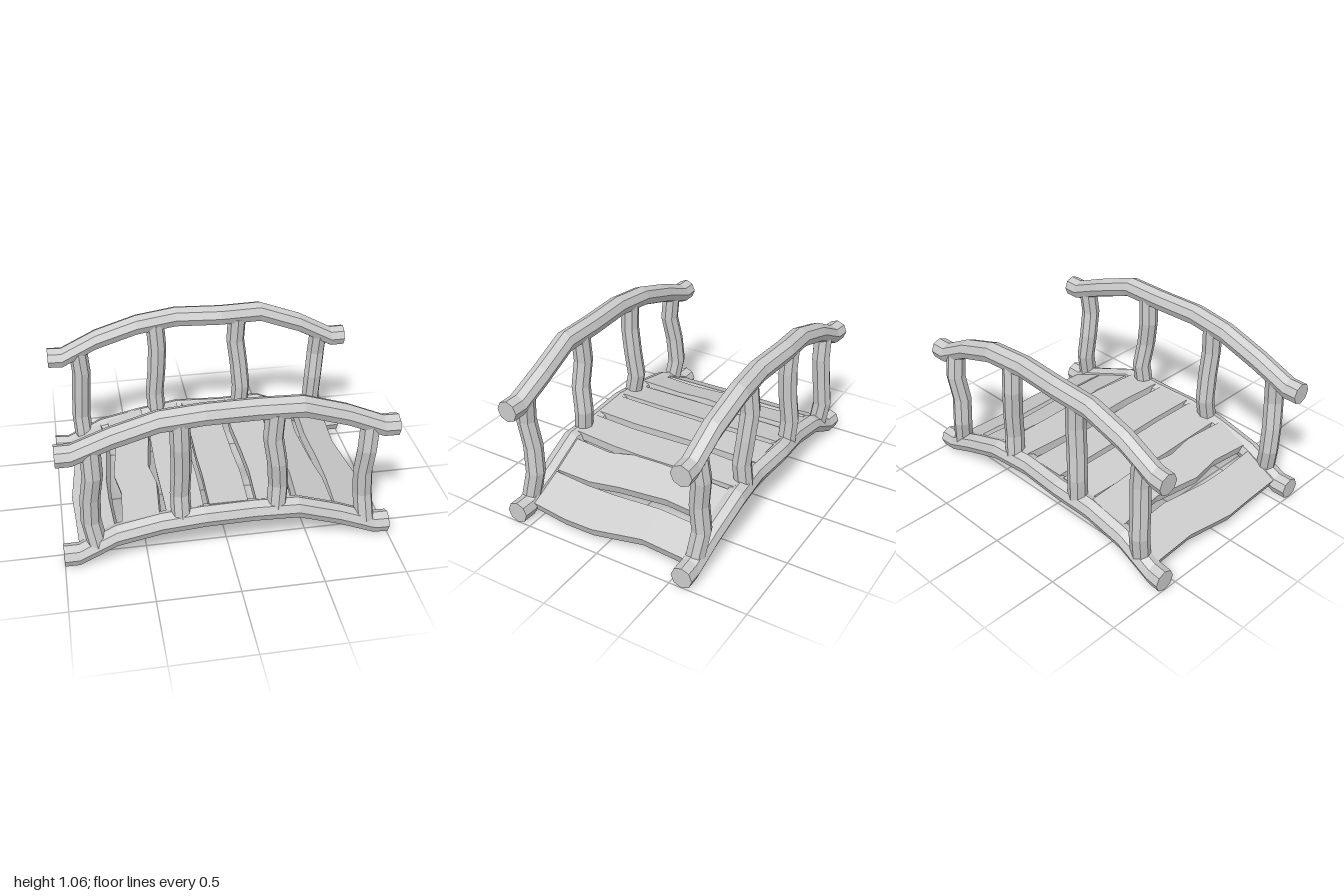
import * as THREE from 'three';

const V = (x, y, z) => new THREE.Vector3(x, y, z);

// Skin a list of closed rings (counter-clockwise about the travel direction) and cap both ends
function loft(rings) {
  const pos = [], index = [], n = rings[0].length, last = (rings.length - 1) * n;
  rings.forEach((r) => r.forEach((p) => pos.push(p.x, p.y, p.z)));
  for (let i = 0; i < rings.length - 1; i++) {
    for (let j = 0; j < n; j++) {
      const a = i * n + j, b = i * n + (j + 1) % n;
      index.push(a, b, b + n, a, b + n, a + n);
    }
  }
  for (let j = 1; j < n - 1; j++) {
    index.push(0, j + 1, j, last, last + j, last + j + 1);
  }
  const g = new THREE.BufferGeometry();
  g.setAttribute('position', new THREE.Float32BufferAttribute(pos, 3));
  g.setIndex(index);
  const flat = g.toNonIndexed();
  flat.computeVertexNormals();
  return flat;
}

// Eight-sided log whose rings stay square to the x or y axis
function log(path, axis, radius) {
  return loft(path.map(([x, y, z]) => Array.from({ length: 8 }, (_, k) => {
    const c = radius * Math.cos(k * Math.PI / 4), s = radius * Math.sin(k * Math.PI / 4);
    return axis === 'x' ? V(x, y + c, z + s) : V(x + s, y, z + c);
  })));
}

// Rail stations along x, with sideways wobble per side
const railX = [-1, -0.91, -0.68, -0.41, -0.15, 0.15, 0.42, 0.69, 0.91, 1];
const lowerY = [0.07, 0.07, 0.185, 0.242, 0.27, 0.268, 0.263, 0.16, 0.07, 0.07];
const upperY = [0.79, 0.79, 0.88, 0.963, 0.99, 0.987, 0.982, 0.885, 0.79, 0.79];
const frontZ = [0.585, 0.585, 0.586, 0.59, 0.6, 0.591, 0.598, 0.58, 0.585, 0.588];
const backZ = [-0.592, -0.582, -0.58, -0.582, -0.602, -0.58, -0.6, -0.585, -0.58, -0.582];

// Posts: x centre at five heights (bottom to top), for front and back
const frontPosts = [
  { y: [0.13, 0.92 - 0.1], x: [-0.795, -0.825, -0.82, -0.797, -0.80], z: [0.59, 0.565, 0.58, 0.605, 0.59] },
  { y: [0.26, 0.96], x: [-0.29, -0.292, -0.285, -0.288, -0.29], z: [0.595, 0.56, 0.58, 0.60, 0.595] },
  { y: [0.27, 0.96], x: [0.285, 0.297, 0.28, 0.253, 0.262], z: [0.595, 0.575, 0.6, 0.59, 0.595] },
  { y: [0.12, 0.82], x: [0.85, 0.835, 0.82, 0.825, 0.835], z: [0.59, 0.555, 0.57, 0.60, 0.585] },
];
const backPosts = [
  { y: [0.13, 0.82], x: [-0.8, -0.81, -0.80, -0.787, -0.80], z: [-0.58, -0.605, -0.59, -0.58, -0.58] },
  { y: [0.26, 0.96], x: [-0.29, -0.3, -0.285, -0.275, -0.285], z: [-0.59, -0.6, -0.585, -0.58, -0.585] },
  { y: [0.27, 0.96], x: [0.285, 0.295, 0.28, 0.258, 0.265], z: [-0.59, -0.575, -0.59, -0.6, -0.585] },
  { y: [0.12, 0.82], x: [0.84, 0.805, 0.81, 0.825, 0.83], z: [-0.58, -0.6, -0.585, -0.605, -0.58] },
];

// Planks: left and right edge x at each z station, and top height at those edges
const plankZ = [-0.58, -0.24, 0.08, 0.28, 0.58];
const planks = [
  { l: [-0.905, -0.89, -0.925, -0.915, -0.905], r: [-0.69, -0.67, -0.70, -0.70, -0.685], y: [0.115, 0.235] },
  { l: [-0.645, -0.61, -0.65, -0.62, -0.645], r: [-0.405, -0.39, -0.43, -0.40, -0.42], y: [0.25, 0.312] },
  { l: [-0.375, -0.38, -0.385, -0.38, -0.375], r: [-0.155, -0.155, -0.155, -0.15, -0.155], y: [0.295, 0.337] },
  { l: [-0.12, -0.115, -0.12, -0.115, -0.12], r: [0.115, 0.11, 0.115, 0.125, 0.115], y: [0.335, 0.335] },
  { l: [0.18, 0.16, 0.175, 0.18, 0.165], r: [0.395, 0.395, 0.405, 0.40, 0.375], y: [0.335, 0.325] },
  { l: [0.42, 0.405, 0.395, 0.44, 0.42], r: [0.635, 0.61, 0.635, 0.665, 0.66], y: [0.31, 0.22] },
  { l: [0.695, 0.675, 0.69, 0.69, 0.67], r: [0.90, 0.88, 0.93, 0.93, 0.90], y: [0.205, 0.105] },
];

export function createModel() {
  const bridge = new THREE.Group();
  bridge.name = 'footbridge';
  const wood = new THREE.MeshStandardMaterial({ color: 0xcccccc, flatShading: true });
  const add = (name, geometry) => {
    const mesh = new THREE.Mesh(geometry, wood);
    mesh.name = name;
    bridge.add(mesh);
  };

  // Arched beams and handrails, with posts between them
  for (const [side, zs, posts, drop] of [['front', frontZ, frontPosts, 0], ['back', backZ, backPosts, 0.025]]) {
    add(`${side}Beam`, log(railX.map((x, i) => [x, lowerY[i], zs[i]]), 'x', 0.069));
    add(`${side}Handrail`, log(railX.map((x, i) => {
      const end = Math.abs(x) > 0.9 ? drop : 0;
      return [x, upperY[i] - end, zs[i]];
    }), 'x', 0.068));
    posts.forEach((p, n) => {
      const path = p.x.map((x, i) => [x, p.y[0] + (p.y[1] - p.y[0]) * i / 4, p.z[i]]);
      add(`${side}Post${n + 1}`, log(path, 'y', 0.061));
    });
  }

  // Deck planks with wavy edges, tilted to follow the arch
  const thick = 0.055;
  planks.forEach((p, n) => {
    const slope = (p.y[1] - p.y[0]) / 0.23;
    const mid = (p.l[0] + p.r[0]) / 2;
    const rings = plankZ.map((z, i) => {
      const top = (x) => (p.y[0] + p.y[1]) / 2 + slope * (x - mid) - 0.02 * z * Math.abs(slope);
      const lean = slope * thick * 0.8;
      const l = p.l[i], r = p.r[i];
      return [V(l + lean, top(l) - thick, z), V(r + lean, top(r) - thick, z), V(r, top(r), z), V(l, top(l), z)];
    });
    add(`plank${n + 1}`, loft(rings));
  });
  return bridge;
}
